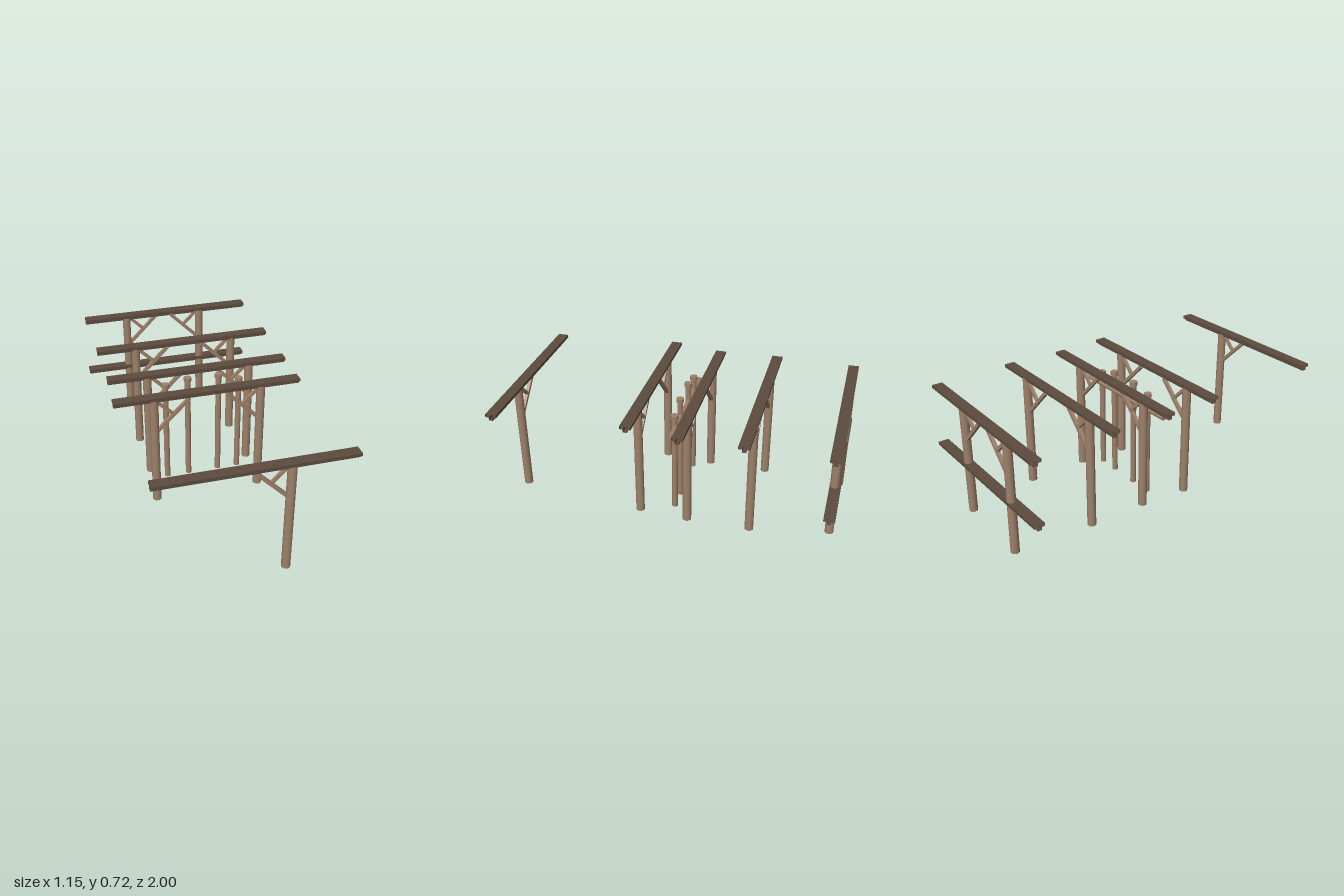
import * as THREE from 'three';

const wood = new THREE.MeshStandardMaterial({ color: 0x9c8069 });
const darkWood = new THREE.MeshStandardMaterial({ color: 0x5c4b3e, side: THREE.DoubleSide });

export function createModel() {
  const model = new THREE.Group();

  const add = (name, geometry, material, x, y, z, parent = model) => {
    const mesh = new THREE.Mesh(geometry, material);
    mesh.name = name;
    mesh.position.set(x, y, z);
    parent.add(mesh);
    return mesh;
  };

  // Open-ended T-section beam: wide upper board over a narrow stem
  const beam = (name, x0, x1, top, z, parent) => {
    const w = 0.032, s = 0.012, h = 0.0185;
    const section = [
      [-w, 0], [w, 0], [w, -h], [s, -h], [s, -2 * h], [-s, -2 * h], [-s, -h], [-w, -h],
    ];
    const pos = [];
    section.forEach(([z0, y0], i) => {
      const [z1, y1] = section[(i + 1) % section.length];
      pos.push(x0, y0, z0, x0, y1, z1, x1, y1, z1, x0, y0, z0, x1, y1, z1, x1, y0, z0);
    });
    const geometry = new THREE.BufferGeometry();
    geometry.setAttribute('position', new THREE.Float32BufferAttribute(pos, 3));
    geometry.computeVertexNormals();
    add(name, geometry, darkWood, 0, top, z, parent);
  };

  // Square timber between two points in the plane of a frame
  const timber = (name, ax, ay, bx, by, z, t, parent) => {
    const len = Math.hypot(bx - ax, by - ay);
    const mesh = add(name, new THREE.BoxGeometry(len, t, t), wood, (ax + bx) / 2, (ay + by) / 2, z, parent);
    mesh.rotation.z = Math.atan2(by - ay, bx - ax);
  };

  // Frames: beam depth, span, top height, and [x, z] of each post
  const frames = [
    { z: 0.967, x0: -0.535, x1: 0.575, top: 0.705, posts: [[0.206, 0.967]] },
    { z: 0.185, x0: -0.575, x1: 0.535, top: 0.723, posts: [[-0.34, 0.185], [0.302, 0.185]] },
    { z: -0.115, x0: -0.555, x1: 0.555, top: 0.705, posts: [[-0.315, -0.115], [0.325, -0.115]] },
    { z: -0.483, x0: -0.555, x1: 0.555, top: 0.714, posts: [[-0.31, -0.481], [0.325, -0.495]] },
    { z: -0.965, x0: -0.555, x1: 0.555, top: 0.708, posts: [[-0.275, -0.97], [0.235, -0.96]] },
  ];
  const postGeometry = new THREE.CylinderGeometry(0.026, 0.026, 0.704, 24);

  for (const f of frames) {
    const frame = new THREE.Group();
    frame.name = 'postFrame';
    model.add(frame);
    beam('roofBeam', f.x0, f.x1, f.top, f.z, frame);
    for (const [x, z] of f.posts) {
      add('post', postGeometry, wood, x, 0.352, z, frame);
      // Knee brace leaning inwards, with a short strut back to the corner
      const d = x > 0 ? -1 : 1;
      timber('kneeBrace', x + d * 0.015, 0.485, x + d * 0.21, 0.68, z, 0.02, frame);
      timber('braceStrut', x + d * 0.02, 0.68, x + d * 0.11, 0.59, z, 0.018, frame);
    }
  }

  // Low rail across the back frame
  beam('backRail', -0.555, 0.558, 0.33, -0.965);

  // Slim capped posts in the middle: [x, top height]
  for (const [x, top] of [[-0.227, 0.675], [-0.09, 0.7], [0.102, 0.697], [0.23, 0.655]]) {
    const shaft = top - 0.025 - 0.012;
    add('slimPost', new THREE.CylinderGeometry(0.0175, 0.0175, shaft, 20), wood, x, 0.012 + shaft / 2, -0.015);
    add('slimPostCap', new THREE.CylinderGeometry(0.0225, 0.0225, 0.025, 20), wood, x, top - 0.0125, -0.015);
  }

  // Horizontal log resting across the slim posts
  const log = add('crossLog', new THREE.CylinderGeometry(0.0165, 0.0165, 0.735, 20), wood, -0.012, 0.576, -0.02);
  log.rotation.set(0, 0.012, Math.PI / 2);

  return model;
}
